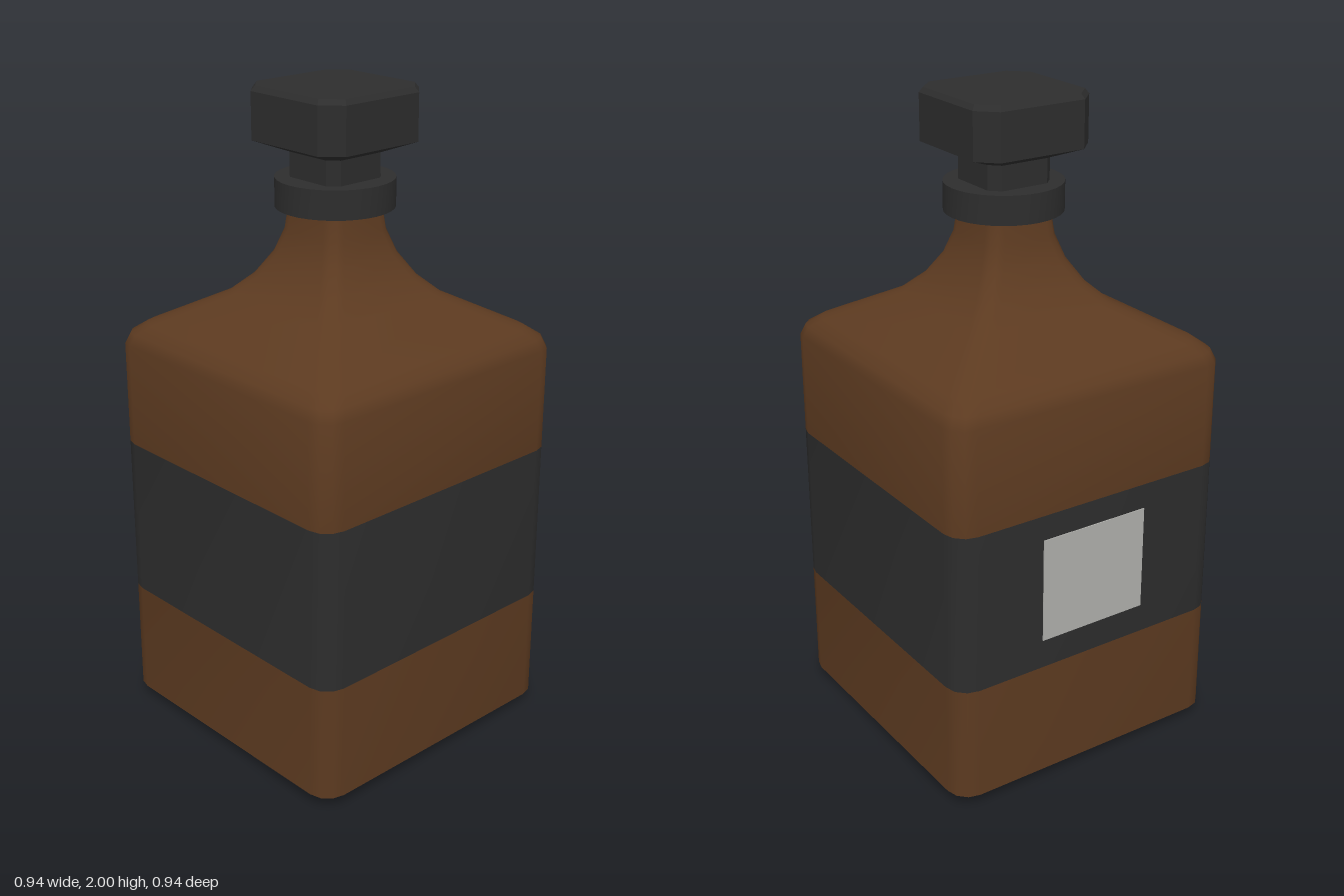
import * as THREE from 'three';
import { toCreasedNormals } from 'three/addons/utils/BufferGeometryUtils.js';

// Square outline of half-width h with corners of size r, cut into n segments
function section(h, r, n) {
  const pts = [];
  for (let k = 0; k < 4; k++) {
    const cx = (k === 0 || k === 3 ? 1 : -1) * (h - r);
    const cz = (k < 2 ? 1 : -1) * (h - r);
    for (let i = 0; i <= n; i++) {
      const a = (k + i / n) * Math.PI / 2;
      pts.push([cx + r * Math.cos(a), cz + r * Math.sin(a)]);
    }
  }
  return pts;
}

// Skin through square outlines; each row is [height, half-width, corner size]
function loft(rows, n, crease, capBottom, capTop) {
  const rings = rows.map(([y, h, r]) => section(h, r, n).map(([x, z]) => [x, y, z]));
  const pos = [];
  const tri = (...corners) => corners.forEach((p) => pos.push(...p));
  const count = rings[0].length;
  for (let i = 0; i < count; i++) {
    const j = (i + 1) % count;
    for (let k = 0; k < rings.length - 1; k++) {
      const lo = rings[k], hi = rings[k + 1];
      tri(lo[i], hi[i], lo[j]);
      tri(lo[j], hi[i], hi[j]);
    }
    const first = rings[0], last = rings[rings.length - 1];
    if (capBottom) tri([0, rows[0][0], 0], first[i], first[j]);
    if (capTop) tri([0, rows[rows.length - 1][0], 0], last[j], last[i]);
  }
  const geo = new THREE.BufferGeometry();
  geo.setAttribute('position', new THREE.Float32BufferAttribute(pos, 3));
  geo.computeVertexNormals();
  return toCreasedNormals(geo, crease);
}

export function createModel() {
  const group = new THREE.Group();
  const material = (name, color) => {
    const m = new THREE.MeshStandardMaterial({ color });
    m.name = name;
    return m;
  };
  const brown = material('brown glass', 0x5c3a20);
  const black = material('black', 0x2d2d2d);
  const grey = material('pale grey', 0xb0b0ac);

  const add = (name, geo, mat) => {
    const mesh = new THREE.Mesh(geo, mat);
    mesh.name = name;
    group.add(mesh);
    return mesh;
  };

  // Bottle: base, label band wrapped round the middle, shoulder and neck
  const smooth = 0.75;
  add('bottleBase', loft([[0, 0.36, 0.055], [0.035, 0.47, 0.07], [0.4, 0.47, 0.07]], 3, smooth, true, false), brown);
  add('labelBand', loft([[0.4, 0.47, 0.07], [0.9, 0.47, 0.07]], 3, smooth, false, false), black);
  add('bottleShoulder', loft([
    [0.9, 0.47, 0.07], [1.22, 0.47, 0.07], [1.255, 0.457, 0.07], [1.285, 0.42, 0.068],
    [1.385, 0.24, 0.055], [1.44, 0.185, 0.05], [1.51, 0.142, 0.045],
    [1.58, 0.118, 0.042], [1.66, 0.108, 0.04],
  ], 3, smooth, false, true), brown);

  // Small label on the model's right side
  add('sideLabel', new THREE.BoxGeometry(0.006, 0.33, 0.36), grey).position.set(-0.47, 0.657, 0);

  // Round collar, square stem and chamfered stopper
  const collar = toCreasedNormals(new THREE.CylinderGeometry(0.177, 0.177, 0.087, 32), 0.6);
  add('collar', collar, black).position.y = 1.693;
  add('stopperStem', loft([[1.73, 0.107, 0.03], [1.815, 0.107, 0.03]], 1, 0.1, false, false), black);
  add('stopper', loft([
    [1.81, 0.107, 0.03], [1.845, 0.195, 0.055], [1.985, 0.195, 0.055], [2, 0.185, 0.052],
  ], 1, 0.1, true, true), black);

  return group;
}
